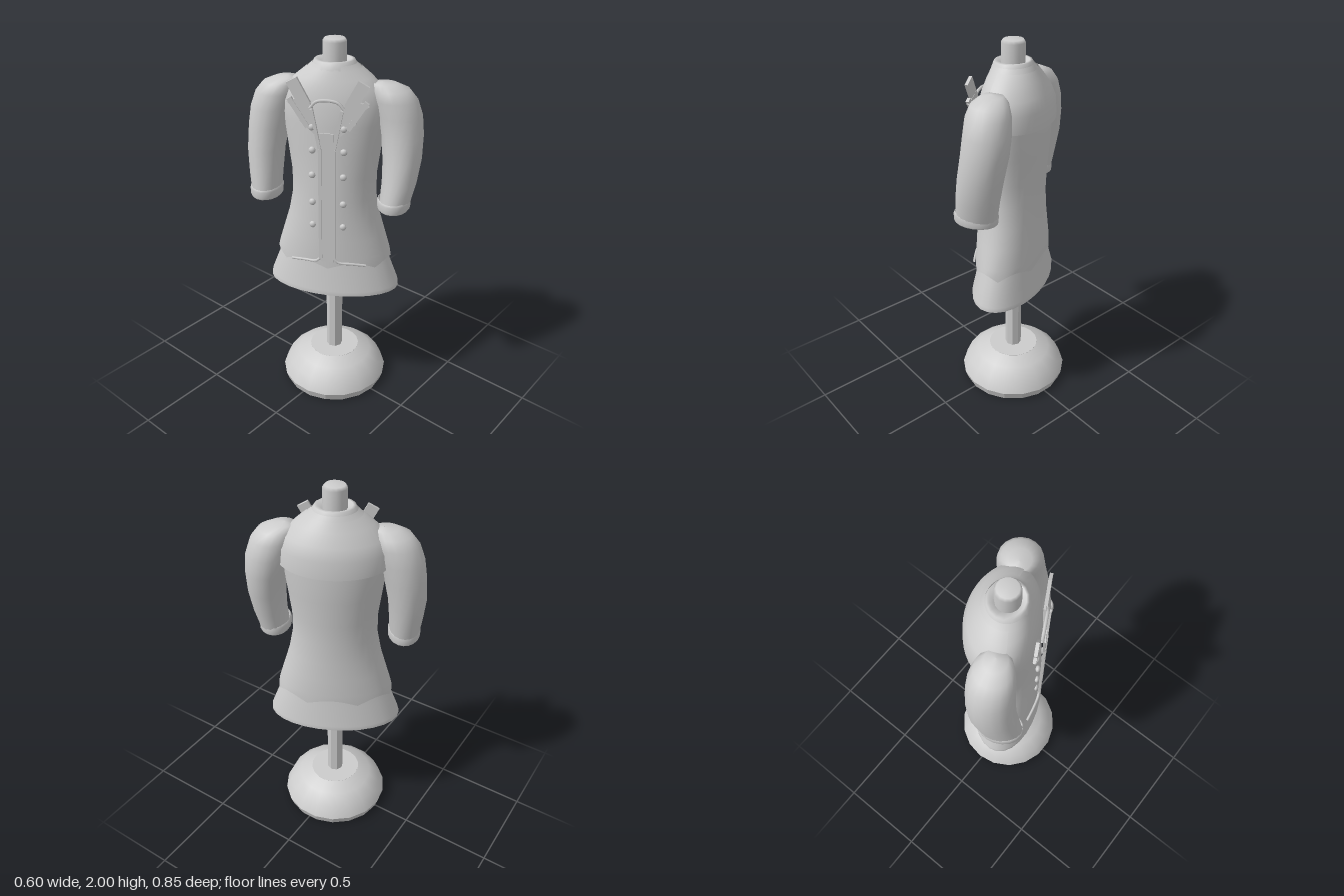
import * as THREE from 'three';

const grey = new THREE.MeshStandardMaterial({ color: 0xcccccc, side: THREE.DoubleSide });
grey.name = 'light grey';

function add(parent, name, geometry, x = 0, y = 0, z = 0) {
  const mesh = new THREE.Mesh(geometry, grey);
  mesh.name = name;
  mesh.position.set(x, y, z);
  parent.add(mesh);
  return mesh;
}

// Skin over stacked ovals, each [y, centreX, centreZ, halfWidth, frontDepth, backDepth].
// An optional start and end angle leaves the shell open; edge() shifts the lowest ring.
function loft(rings, { sides = 28, from = 0, to = Math.PI * 2, edge = () => 0 } = {}) {
  const closed = to - from > 6.28;
  const cols = closed ? sides : sides + 1;
  const pos = [], index = [];
  rings.forEach(([y, cx, cz, a, bf, bb = bf], j) => {
    for (let i = 0; i < cols; i++) {
      const t = from + (to - from) * i / sides;
      const c = Math.cos(t);
      pos.push(cx + a * Math.sin(t), y + (j === 0 ? edge(t) : 0), cz + c * (c > 0 ? bf : bb));
    }
  });
  for (let j = 0; j < rings.length - 1; j++) {
    for (let i = 0; i < sides; i++) {
      const k = (i + 1) % cols;
      const p = j * cols + i, q = j * cols + k;
      index.push(p, q, q + cols, p, q + cols, p + cols);
    }
  }
  const g = new THREE.BufferGeometry();
  g.setAttribute('position', new THREE.Float32BufferAttribute(pos, 3));
  g.setIndex(index);
  g.computeVertexNormals();
  return g;
}

// Thin flat strip joining two points on the front
function strip(parent, name, [x1, y1], [x2, y2], width, z, depth = 0.012) {
  const length = Math.hypot(x2 - x1, y2 - y1);
  const m = add(parent, name, new THREE.BoxGeometry(width, length, depth), (x1 + x2) / 2, (y1 + y2) / 2, z);
  m.rotation.z = -Math.atan2(x2 - x1, y2 - y1);
  return m;
}

function makeStand() {
  const stand = new THREE.Group();
  stand.name = 'stand';
  const turn = (pts, n) => new THREE.LatheGeometry(pts.map(p => new THREE.Vector2(...p)), n).toNonIndexed();
  const flat = g => { g.computeVertexNormals(); return g; };
  add(stand, 'baseRim', flat(turn([[0, 0], [0.285, 0], [0.3, 0.045]], 18)));
  add(stand, 'baseDome', new THREE.LatheGeometry(
    [[0.3, 0.045], [0.268, 0.115], [0.21, 0.165], [0.14, 0.198]].map(p => new THREE.Vector2(...p)), 18));
  add(stand, 'baseTop', new THREE.CylinderGeometry(0.14, 0.14, 0.004, 18), 0, 0.197, 0);
  add(stand, 'pole', flat(new THREE.CylinderGeometry(0.045, 0.045, 1.72, 8).toNonIndexed()), 0, 1.04, 0);
  add(stand, 'neckPost', turn([[0.06, 1.86], [0.06, 1.985], [0.05, 2], [0, 2]], 14));
  return stand;
}

function makeGarment() {
  const coat = new THREE.Group();
  coat.name = 'garment';

  // Flared skirt, open underneath
  add(coat, 'skirt', loft([
    [0.655, 0, 0, 0.36, 0.19], [0.68, 0, 0, 0.358, 0.19],
    [0.8, 0, 0, 0.312, 0.165], [0.95, 0, 0, 0.26, 0.15]]));

  // Coat body with a scalloped lower edge
  add(coat, 'coatBody', loft([
    [0.815, 0, 0, 0.313, 0.175], [0.88, 0, 0, 0.305, 0.175],
    [0.98, 0, 0, 0.275, 0.175, 0.17], [1.08, 0, 0, 0.245, 0.172, 0.165],
    [1.2, 0, 0, 0.222, 0.17, 0.162], [1.32, 0, 0, 0.222, 0.165, 0.167],
    [1.46, 0, 0, 0.24, 0.16, 0.178], [1.6, 0, 0, 0.258, 0.158, 0.185],
    [1.7, 0, 0, 0.265, 0.15, 0.178], [1.77, 0, 0, 0.235, 0.135, 0.158],
    [1.82, 0, 0, 0.185, 0.12, 0.135], [1.86, 0, 0, 0.135, 0.105, 0.115],
    [1.885, 0, 0, 0.11, 0.095, 0.1]],
    { sides: 42, edge: t => 0.035 * Math.abs(Math.sin(t * 3.5)) }));

  // Short cape over the back and shoulders
  add(coat, 'backCape', loft([
    [1.625, 0, 0, 0.285, 0.17, 0.205], [1.7, 0, 0, 0.28, 0.16, 0.2],
    [1.76, 0, 0, 0.25, 0.145, 0.178], [1.82, 0, 0, 0.19, 0.125, 0.145],
    [1.865, 0, 0, 0.135, 0.108, 0.12]],
    { from: Math.PI * 0.42, to: Math.PI * 1.58, edge: t => 0.015 * Math.cos(t) }));

  // Neck band and its inner slope
  add(coat, 'neckBand', loft([
    [1.865, 0, 0, 0.118, 0.105], [1.9, 0, 0, 0.1, 0.092],
    [1.902, 0, 0, 0.085, 0.08], [1.885, 0, 0, 0.058, 0.058]], { sides: 16 }));

  // Sleeves: [y, centreX, centreZ, radiusX, radiusZ]; the arms hang a little differently
  const sleeves = {
    left: [[1.17, 0.325, 0.065, 0.076, 0.108], [1.3, 0.345, 0.045, 0.088, 0.112],
      [1.42, 0.352, 0.024, 0.098, 0.115], [1.54, 0.345, 0.003, 0.106, 0.117],
      [1.64, 0.328, -0.004, 0.112, 0.115], [1.72, 0.303, 0, 0.11, 0.108],
      [1.77, 0.278, 0.004, 0.095, 0.09], [1.797, 0.25, 0.006, 0.06, 0.055], [1.803, 0.24, 0.006, 0.001, 0.001]],
    right: [[1.17, -0.36, 0.033, 0.076, 0.108], [1.3, -0.364, 0.014, 0.088, 0.112],
      [1.42, -0.364, -0.005, 0.098, 0.115], [1.54, -0.348, -0.014, 0.106, 0.117],
      [1.64, -0.326, -0.016, 0.112, 0.115], [1.72, -0.298, -0.014, 0.11, 0.108],
      [1.77, -0.272, -0.01, 0.095, 0.09], [1.797, -0.245, -0.006, 0.06, 0.055], [1.803, -0.235, -0.006, 0.001, 0.001]],
  };
  for (const [side, rings] of Object.entries(sleeves)) {
    add(coat, side + 'Sleeve', loft(rings, { sides: 18 }));
    const [, x, z, a, b] = rings[0];
    add(coat, side + 'Cuff', loft([
      [1.168, x, z, a + 0.003, b + 0.002], [1.175, x, z, a + 0.008, b + 0.007],
      [1.212, x, z, a + 0.01, b + 0.008], [1.222, x, z, a + 0.003, b + 0.002]], { sides: 18 }));
  }

  // Front placket, lapels, hem trim and buttons, mirrored
  const front = new THREE.Group();
  front.name = 'frontTrim';
  coat.add(front);
  for (const s of [-1, 1]) {
    strip(front, 'placketEdge', [s * 0.035, 0.88], [s * 0.035, 1.5], 0.016, 0.182);
    strip(front, 'placketUpperEdge', [s * 0.035, 1.49], [s * 0.075, 1.7], 0.016, 0.18);
    strip(front, 'collarTab', [s * 0.11, 1.71], [s * 0.175, 1.83], 0.06, 0.157, 0.016);
    strip(front, 'lapelEdge', [s * 0.1, 1.6], [s * 0.19, 1.74], 0.025, 0.155, 0.016);
    const lapel = new THREE.Shape([[0.06, 1.56], [0.14, 1.63], [0.13, 1.66], [0.2, 1.72], [0.11, 1.76], [0.075, 1.7]]
      .map(([x, y]) => new THREE.Vector2(s * x, y)));
    add(front, 'lapel', new THREE.ExtrudeGeometry(lapel, { depth: 0.012, bevelEnabled: false }), 0, 0, 0.148);

    const curve = new THREE.CatmullRomCurve3([
      [0.03, 0.89, 0.18], [0.06, 0.862, 0.18], [0.12, 0.855, 0.168], [0.2, 0.842, 0.145]]
      .map(([x, y, z]) => new THREE.Vector3(s * x, y, z)));
    add(front, 'hemTrim', new THREE.TubeGeometry(curve, 10, 0.007, 6));

    for (const y of [1.07, 1.2, 1.35, 1.48, 1.6]) {
      const button = add(front, 'button', new THREE.SphereGeometry(0.018, 10, 6), s * 0.08, y, y > 1.4 ? 0.155 : 0.164);
      button.scale.z = 0.7;
    }
  }
  add(front, 'placket', new THREE.BoxGeometry(0.07, 0.72, 0.006), 0, 1.22, 0.177);
  const collarCurve = new THREE.CatmullRomCurve3([
    [-0.085, 1.7, 0.17], [-0.05, 1.735, 0.17], [0.05, 1.735, 0.17], [0.085, 1.7, 0.17]]
    .map(p => new THREE.Vector3(...p)));
  add(front, 'collarCord', new THREE.TubeGeometry(collarCurve, 14, 0.008, 6));

  coat.rotation.y = -1.086;
  return coat;
}

export function createModel() {
  const model = new THREE.Group();
  model.name = 'dressForm';
  model.add(makeStand(), makeGarment());
  model.children.forEach(part => { part.position.x = 0.008; });
  return model;
}
